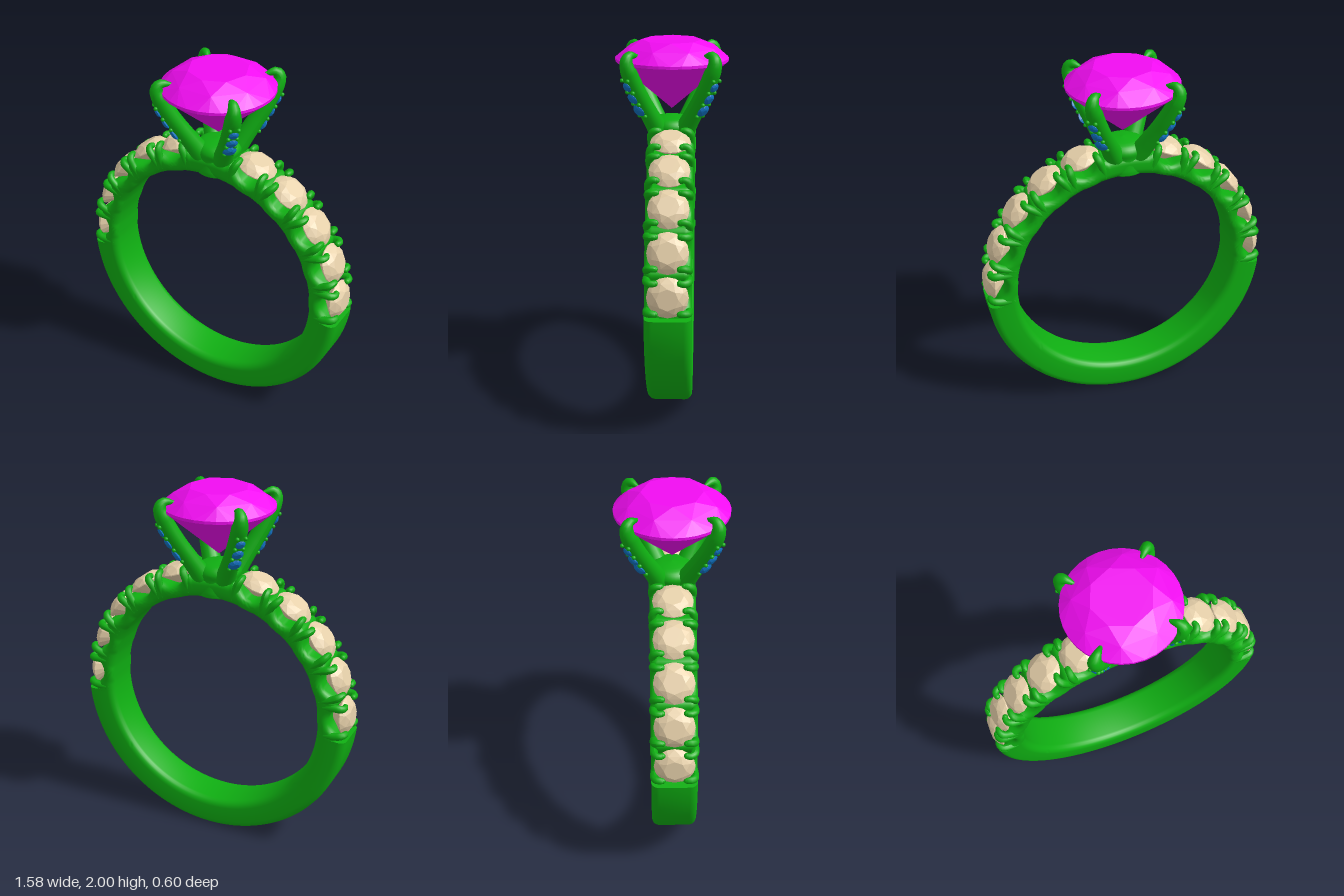
import * as THREE from 'three';
import { toCreasedNormals } from 'three/addons/utils/BufferGeometryUtils.js';
import { ConvexGeometry } from 'three/addons/geometries/ConvexGeometry.js';

const CY = 0.793, R_IN = 0.622, R_OUT = 0.788, HALF_W = 0.12;
const FIRST_GAP = -5, PITCH = 17, STONES = 5;
const LAST_GAP = FIRST_GAP + PITCH * STONES;
const rad = THREE.MathUtils.degToRad;

const metal = new THREE.MeshStandardMaterial({ color: 0x0fae12 });
const centreMat = new THREE.MeshStandardMaterial({ color: 0xf20cf2 });
const stoneMat = new THREE.MeshStandardMaterial({ color: 0xe6d0aa });
const accentMat = new THREE.MeshStandardMaterial({ color: 0x0f70be });

function add(parent, name, geometry, material) {
  const mesh = new THREE.Mesh(geometry, material);
  mesh.name = name;
  parent.add(mesh);
  return mesh;
}

// Brilliant cut: girdle at y = 0, table above, culet below
function gem(r, crown, depth, sides = 16, table = 0.53) {
  const pts = [new THREE.Vector3(0, -depth, 0)];
  const ring = (n, radius, y, turn) => {
    for (let i = 0; i < n; i++) {
      const a = ((i + turn) / n) * Math.PI * 2;
      pts.push(new THREE.Vector3(Math.cos(a) * radius, y, Math.sin(a) * radius));
    }
  };
  ring(8, r * table, crown, 0);
  ring(8, r * 0.8, crown * 0.62, 0.5);
  ring(sides, r, r * 0.02, 0);
  ring(sides, r, -r * 0.03, 0);
  return new ConvexGeometry(pts);
}

// Band arc: rounded rectangular section swept around the finger hole
function bandArc(a0, a1, steps, outerAt) {
  const c = 0.04, k = 5;
  const corners = [[1, 0, -90], [1, 1, 0], [-1, 1, 90], [-1, 0, 180]];
  const n = corners.length * (k + 1);
  const pos = [], idx = [];
  for (let j = 0; j <= steps; j++) {
    const deg = a0 + ((a1 - a0) * j) / steps, t = rad(deg), outer = outerAt(deg);
    const cc = Math.min(c, (outer - R_IN) * 0.45);
    for (const [sz, out, start] of corners) {
      for (let i = 0; i <= k; i++) {
        const a = rad(start + (90 * i) / k);
        const r = (out ? outer - cc : R_IN + cc) + cc * Math.sin(a);
        pos.push(r * Math.cos(t), CY + r * Math.sin(t), sz * (HALF_W - cc) + cc * Math.cos(a));
      }
    }
  }
  for (let j = 0; j < steps; j++) {
    for (let i = 0; i < n; i++) {
      const a = j * n + i, b = j * n + ((i + 1) % n);
      idx.push(a, b, b + n, a, b + n, a + n);
    }
  }
  const e = steps * n;
  for (let i = 1; i < n - 1; i++) idx.push(0, i + 1, i, e, e + i, e + i + 1);
  const g = new THREE.BufferGeometry();
  g.setAttribute('position', new THREE.Float32BufferAttribute(pos, 3));
  g.setIndex(idx);
  return toCreasedNormals(g, 0.7);
}

// Scalloped outer radius: high at the gaps, low beside each stone
function scallop(deg) {
  const a = deg > 90 ? 180 - deg : deg;
  if (a > LAST_GAP) return 0.735;
  const wave = 0.5 + 0.5 * Math.cos((2 * Math.PI * (a - FIRST_GAP)) / PITCH);
  return 0.685 + 0.06 * Math.pow(wave, 1.4);
}

// Tube whose radius follows a list of values along its length, with round ends
function taperedTube(parent, name, curve, radii, segs, sides) {
  const g = new THREE.TubeGeometry(curve, segs, 1, sides, false);
  const p = g.attributes.position, v = new THREE.Vector3();
  for (let j = 0; j <= segs; j++) {
    const f = (j / segs) * (radii.length - 1), i = Math.min(Math.floor(f), radii.length - 2);
    const r = THREE.MathUtils.lerp(radii[i], radii[i + 1], f - i);
    const centre = curve.getPointAt(j / segs);
    for (let s = 0; s <= sides; s++) {
      const q = j * (sides + 1) + s;
      v.fromBufferAttribute(p, q).sub(centre).multiplyScalar(r).add(centre);
      p.setXYZ(q, v.x, v.y, v.z);
    }
  }
  g.computeVertexNormals();
  add(parent, name, g, metal);
  add(parent, name + 'Tip', new THREE.SphereGeometry(radii[radii.length - 1], sides, 8), metal)
    .position.copy(curve.getPointAt(1));
}

// Small claw gripping a side stone; dir is the way it leans around the band
function sideClaw(parent, gap, dir, side) {
  const path = [[0.65, 0.098, 1.2], [0.72, 0.105, 1.8], [0.76, 0.1, 2.5], [0.774, 0.08, 2.8], [0.772, 0.062, 2.6]];
  const pts = path.map(([r, z, d]) => {
    const t = rad(gap + dir * d);
    return new THREE.Vector3(r * Math.cos(t), CY + r * Math.sin(t), side * z);
  });
  taperedTube(parent, 'sideClaw', new THREE.CatmullRomCurve3(pts), [0.021, 0.021, 0.021, 0.016], 14, 10);
}

// Stones and claws along one shoulder
function shoulder() {
  const g = new THREE.Group();
  g.name = 'shoulder';
  const stoneGeo = gem(0.106, 0.042, 0.085);
  for (let k = 0; k < STONES; k++) {
    const deg = FIRST_GAP + PITCH * (k + 0.5), t = rad(deg);
    const m = add(g, 'sideStone', stoneGeo, stoneMat);
    m.position.set(0.748 * Math.cos(t), CY + 0.748 * Math.sin(t), 0);
    m.rotation.z = t - Math.PI / 2;
  }
  for (let k = 0; k <= STONES; k++) {
    for (const side of [-1, 1]) {
      if (k < STONES) sideClaw(g, FIRST_GAP + PITCH * k, 1, side);
      if (k > 0) sideClaw(g, FIRST_GAP + PITCH * k, -1, side);
    }
  }
  return g;
}

// Main prong, rising along local +x, set with three accent stones
function prong() {
  const g = new THREE.Group();
  g.name = 'prong';
  const path = [[0.06, 1.47], [0.12, 1.56], [0.18, 1.65], [0.25, 1.76], [0.302, 1.86], [0.32, 1.915], [0.3, 1.945], [0.25, 1.94]];
  const curve = new THREE.CatmullRomCurve3(path.map(([d, y]) => new THREE.Vector3(d, y, 0)));
  taperedTube(g, 'prongArm', curve, [0.06, 0.055, 0.05, 0.047, 0.045, 0.045, 0.044, 0.043, 0.03, 0.01], 40, 18);
  const frame = (u) => {
    const t = curve.getTangentAt(u);
    return { p: curve.getPointAt(u), n: new THREE.Vector3(t.y, -t.x, 0) };
  };
  [[0.66, 0.027], [0.54, 0.032], [0.41, 0.037]].forEach(([u, r]) => {
    const { p, n } = frame(u);
    const m = add(g, 'accentStone', gem(r, r * 0.4, r * 0.7, 12), accentMat);
    m.position.copy(p).addScaledVector(n, 0.046);
    m.quaternion.setFromUnitVectors(new THREE.Vector3(0, 1, 0), n);
  });
  for (const u of [0.72, 0.602, 0.478, 0.345]) {
    const { p, n } = frame(u);
    for (const side of [-1, 1]) {
      const bead = add(g, 'accentBead', new THREE.SphereGeometry(0.011, 10, 8), metal);
      bead.position.copy(p).addScaledVector(n, 0.043);
      bead.position.z = side * 0.022;
    }
  }
  return g;
}

export function createModel() {
  const ring = new THREE.Group();
  ring.name = 'ring';

  // Plain lower band and scalloped upper band
  add(ring, 'lowerBand', bandArc(180 - FIRST_GAP, 360 + FIRST_GAP, 96, () => R_OUT), metal);
  add(ring, 'upperBand', bandArc(FIRST_GAP - 1, 181 - FIRST_GAP, 192, scallop), metal);

  // Stone-set shoulders, the second turned half round
  const left = shoulder(), right = shoulder();
  right.rotation.y = Math.PI;
  ring.add(left, right);

  // Collar joining the band and the prongs
  const collar = [[0, 1.416], [0.11, 1.418], [0.125, 1.435], [0.122, 1.47], [0.117, 1.51], [0.122, 1.55], [0.09, 1.585], [0, 1.6]];
  const profile = new THREE.SplineCurve(collar.map(([x, y]) => new THREE.Vector2(x, y))).getPoints(28);
  profile.forEach((p) => { p.x = Math.max(p.x, 0); });
  add(ring, 'collar', new THREE.LatheGeometry(profile, 40), metal);

  // Four prongs on the diagonals
  for (let i = 0; i < 4; i++) {
    const p = prong();
    p.rotation.y = Math.PI / 4 + (i * Math.PI) / 2;
    ring.add(p);
  }

  // Centre stone
  add(ring, 'centreStone', gem(0.3, 0.1, 0.267, 32), centreMat).position.y = 1.9;
  return ring;
}
